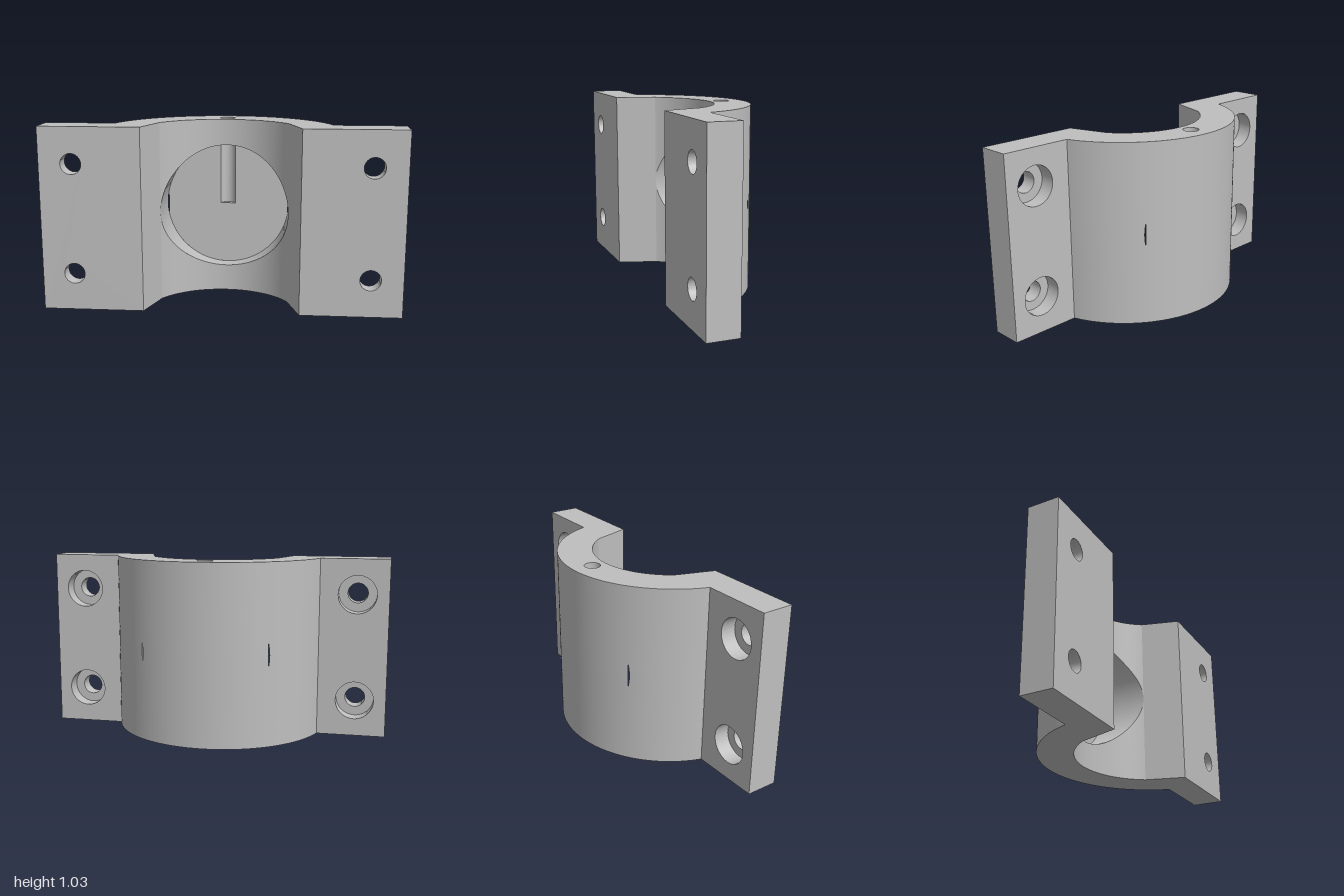
import * as THREE from 'three';

const H = 1.035, ZC = 0.325;              // height and axis of the half ring
const R_OUT = 0.636, R_IN = 0.435;        // ring radii
const Z_BACK = 0.13, Z_FRONT = 0.31;      // flange faces
const YC = 0.52, R_POCKET = 0.365, Z_FLOOR = -0.2; // round pocket
const Z_HOLE = -0.19, R_HOLE = 0.045;     // vertical pin hole
const R_BOLT = 0.058, R_BORE = 0.11, Z_STEP = 0.22, X_BOLT = 0.82;
const BOLT_Y = [0.21, 0.83];

const leg = (r, a) => Math.sqrt(Math.max(0, r * r - a * a));
const X_OUT = leg(R_OUT, ZC - Z_BACK), X_IN = leg(R_IN, ZC - Z_FRONT);
const X_FLOOR = leg(R_OUT, ZC - Z_FLOOR); // where the floor reaches the outer skin
const W_SLOT = leg(R_HOLE, Z_FLOOR - Z_HOLE);

const range = (a, b, n) => Array.from({ length: n + 1 }, (_, i) => a + (b - a) * i / n);
const ringPoint = (r, t) => [r * Math.sin(t), ZC - r * Math.cos(t)];

// Surface spanned between two curves a(t) and b(t)
function ruled(ts, a, b) {
  const pos = [], idx = [];
  ts.forEach((t, i) => {
    pos.push(...a(t), ...b(t));
    if (i) {
      const k = 2 * i - 2;
      idx.push(k, k + 1, k + 2, k + 1, k + 3, k + 2);
    }
  });
  const g = new THREE.BufferGeometry();
  g.setAttribute('position', new THREE.Float32BufferAttribute(pos, 3));
  g.setIndex(idx);
  g.computeVertexNormals();
  return g;
}

export function createModel() {
  const model = new THREE.Group();
  model.name = 'clampHalf';
  const grey = new THREE.MeshStandardMaterial({ color: 0xbfbfbf, side: THREE.DoubleSide });
  grey.name = 'grey';
  const add = (name, geometry, x = 0, y = 0, z = 0) => {
    const m = new THREE.Mesh(geometry, grey);
    m.name = name;
    m.position.set(x, y, z);
    model.add(m);
  };

  // Outer skin, with a thin slit on each side where the pocket breaks through
  const tOut = Math.asin(X_OUT / R_OUT);
  const s0 = Math.asin(X_FLOOR / R_OUT), s1 = Math.asin(R_POCKET / R_OUT);
  const slit = [s0 - 1e-5, ...range(s0, s1, 10)];
  const outerT = [...range(-tOut, tOut, 120).filter(t => Math.abs(t) < s0 - 1e-3 || Math.abs(t) > s1 + 1e-4),
    ...slit, ...slit.map(t => -t)].sort((a, b) => a - b);
  const gap = t => Math.abs(t) >= s0 - 1e-9 ? leg(R_POCKET, R_OUT * Math.sin(t)) : 0;
  const at = (r, t, y) => { const [x, z] = ringPoint(r, t); return [x, y, z]; };
  add('outerSkinLower', ruled(outerT, t => at(R_OUT, t, 0), t => at(R_OUT, t, YC - gap(t))));
  add('outerSkinUpper', ruled(outerT, t => at(R_OUT, t, YC + gap(t)), t => at(R_OUT, t, H)));

  // Inner saddle around the pocket opening
  const tIn = Math.asin(X_IN / R_IN);
  const innerT = [-tIn, ...range(Math.PI, 0, 96).map(p => Math.asin(R_POCKET * Math.cos(p) / R_IN)), tIn];
  const open = t => leg(R_POCKET, R_IN * Math.sin(t));
  add('saddleLower', ruled(innerT, t => at(R_IN, t, YC - open(t)), t => at(R_IN, t, 0)));
  add('saddleUpper', ruled(innerT, t => at(R_IN, t, H), t => at(R_IN, t, YC + open(t))));

  // Pocket wall, from the floor (or pin hole, or slit) to the saddle
  const wallBack = p => {
    const x = R_POCKET * Math.cos(p), y = YC + R_POCKET * Math.sin(p);
    let z = Math.max(Z_FLOOR, ZC - leg(R_OUT, x));
    if (y > YC && Math.abs(x) < W_SLOT) z = Z_HOLE + leg(R_HOLE, x);
    return [x, y, z];
  };
  const wallFront = p => {
    const x = R_POCKET * Math.cos(p);
    return [x, YC + R_POCKET * Math.sin(p), ZC - leg(R_IN, x)];
  };
  add('pocketWall', ruled(range(0, 2 * Math.PI, 288), wallBack, wallFront));

  // Pocket floor with the slot left by the pin hole
  const beta = Math.asin(W_SLOT / R_POCKET);
  const arc = range(Math.PI / 2 - beta, -1.5 * Math.PI + beta, 160).map(p => new THREE.Vector2(
    THREE.MathUtils.clamp(R_POCKET * Math.cos(p), -X_FLOOR, X_FLOOR), YC + R_POCKET * Math.sin(p)));
  const floor = new THREE.Shape([new THREE.Vector2(W_SLOT, YC), ...arc, new THREE.Vector2(-W_SLOT, YC)]);
  add('pocketFloor', new THREE.ShapeGeometry(floor), 0, 0, Z_FLOOR);

  // Pin hole: back arc runs down into the floor, front arc stops at the pocket
  const aBack = Math.acos((Z_HOLE - Z_FLOOR) / R_HOLE);
  const pin = (a, y) => [R_HOLE * Math.sin(a), y, Z_HOLE - R_HOLE * Math.cos(a)];
  add('pinHoleBack', ruled(range(-aBack, aBack, 24), a => pin(a, H), a => pin(a, YC)));
  add('pinHoleFront', ruled(range(aBack, 2 * Math.PI - aBack, 24), a => pin(a, H),
    a => pin(a, YC + leg(R_POCKET, R_HOLE * Math.sin(a)))));
  add('pinHoleBottom', ruled(range(-aBack, aBack, 24),
    a => [R_HOLE * Math.sin(a), YC, Z_FLOOR], a => pin(a, YC)));

  // Flat top and bottom
  const endShape = s => {
    const v = (x, z) => new THREE.Vector2(x, s * z);
    return new THREE.Shape([
      v(-1, Z_FRONT), v(-1, Z_BACK),
      ...outerT.map(t => v(...ringPoint(R_OUT, t))),
      v(1, Z_BACK), v(1, Z_FRONT),
      ...[...innerT].reverse().map(t => v(...ringPoint(R_IN, t))),
    ]);
  };
  const top = endShape(-1);
  top.holes.push(new THREE.Path().absarc(0, -Z_HOLE, R_HOLE, 0, 2 * Math.PI));
  add('topFace', new THREE.ShapeGeometry(top, 24).rotateX(-Math.PI / 2), 0, H, 0);
  add('bottomFace', new THREE.ShapeGeometry(endShape(1)).rotateX(Math.PI / 2));

  // Flanges with counterbored bolt holes
  const plate = (side, inner, r) => {
    const s = new THREE.Shape([[inner, 0], [1, 0], [1, H], [inner, H]]
      .map(([x, y]) => new THREE.Vector2(side * x, y)));
    BOLT_Y.forEach(y => s.holes.push(new THREE.Path().absarc(side * X_BOLT, y, r, 0, 2 * Math.PI)));
    return new THREE.ShapeGeometry(s, 24);
  };
  const bore = (r, z0, z1) => ruled(range(0, 2 * Math.PI, 48),
    p => [r * Math.cos(p), r * Math.sin(p), z0], p => [r * Math.cos(p), r * Math.sin(p), z1]);
  for (const side of [1, -1]) {
    const label = side > 0 ? 'left' : 'right';
    add(label + 'FlangeFront', plate(side, X_IN, R_BOLT), 0, 0, Z_FRONT);
    add(label + 'FlangeBack', plate(-side, X_OUT, R_BORE).rotateY(Math.PI), 0, 0, Z_BACK);
    add(label + 'FlangeEnd', new THREE.PlaneGeometry(Z_FRONT - Z_BACK, H).rotateY(side * Math.PI / 2),
      side, H / 2, (Z_FRONT + Z_BACK) / 2);
    for (const y of BOLT_Y) {
      add(label + 'BoltHole', bore(R_BOLT, Z_STEP, Z_FRONT), side * X_BOLT, y, 0);
      add(label + 'Counterbore', bore(R_BORE, Z_BACK, Z_STEP), side * X_BOLT, y, 0);
      add(label + 'BoltSeat', new THREE.RingGeometry(R_BOLT, R_BORE, 48).rotateY(Math.PI), side * X_BOLT, y, Z_STEP);
    }
  }
  return model;
}
